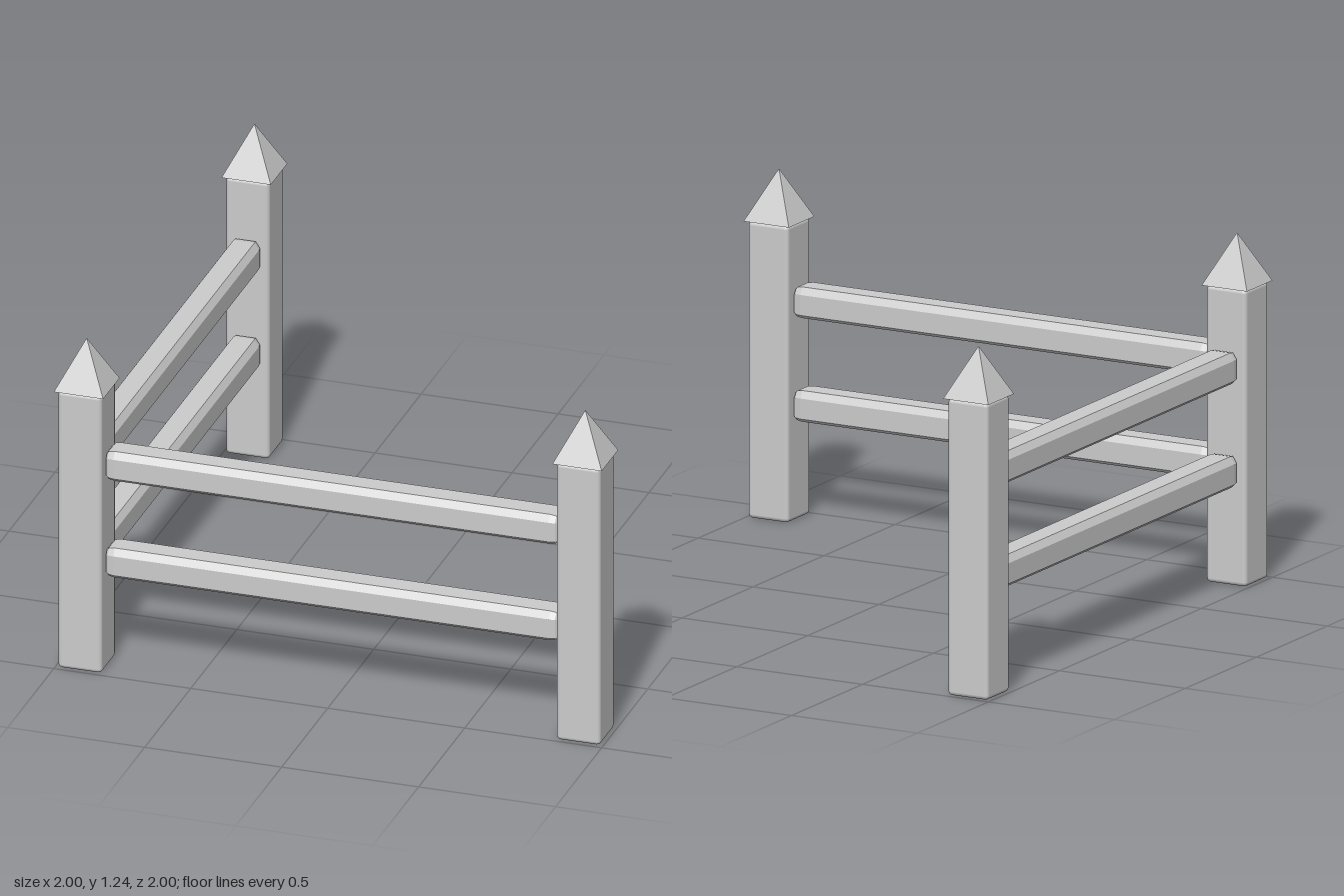
import * as THREE from 'three';
import { RoundedBoxGeometry } from 'three/addons/geometries/RoundedBoxGeometry.js';

const material = new THREE.MeshStandardMaterial({ color: 0xcccccc });
const flatMaterial = new THREE.MeshStandardMaterial({ color: 0xcccccc, flatShading: true });
const OFFSET = 0.91; // distance of the post centres from the axes

// Square post with softened edges and a pointed cap
function makePost(x, z) {
  const group = new THREE.Group();
  group.name = 'post';
  const shaft = new THREE.Mesh(new RoundedBoxGeometry(0.16, 1.06, 0.16, 2, 0.015), material);
  shaft.name = 'postShaft';
  shaft.position.y = 0.53;
  const capGeometry = new THREE.ConeGeometry(0.09 * Math.SQRT2, 0.18, 4);
  capGeometry.rotateY(Math.PI / 4);
  const cap = new THREE.Mesh(capGeometry, flatMaterial);
  cap.name = 'postCap';
  cap.position.y = 1.15;
  group.add(shaft, cap);
  group.position.set(x, 0, z);
  return group;
}

// Rail running along z: bevelled bar with wider chamfers on its upper edges
function makeRailGeometry() {
  const half = 0.055, bevel = 0.012, length = 1.65, endBevel = 0.03;
  const right = [[0.043, -half], [half, -0.043], [half, 0.03], [0.038, half]];
  const left = right.map(([x, y]) => [-x, y]).reverse();
  const shape = new THREE.Shape([...right, ...left].map(([x, y]) => new THREE.Vector2(x, y)));
  const geometry = new THREE.ExtrudeGeometry(shape, {
    depth: length - 2 * endBevel,
    bevelEnabled: true,
    bevelSize: bevel,
    bevelOffset: -bevel,
    bevelThickness: endBevel,
    bevelSegments: 2,
  });
  geometry.translate(0, 0, -length / 2 + endBevel);
  return geometry;
}

export function createModel() {
  const model = new THREE.Group();
  model.name = 'cornerFence';

  // Three posts forming a right-angled corner
  for (const [x, z] of [[-OFFSET, -OFFSET], [-OFFSET, OFFSET], [OFFSET, OFFSET]]) {
    model.add(makePost(x, z));
  }

  // Two rails on each side of the corner
  const railGeometry = makeRailGeometry();
  for (const y of [0.415, 0.785]) {
    const sideRail = new THREE.Mesh(railGeometry, flatMaterial);
    sideRail.name = 'sideRail';
    sideRail.position.set(-OFFSET, y, 0);
    const frontRail = new THREE.Mesh(railGeometry, flatMaterial);
    frontRail.name = 'frontRail';
    frontRail.position.set(0, y, OFFSET);
    frontRail.rotation.y = Math.PI / 2;
    model.add(sideRail, frontRail);
  }
  return model;
}
